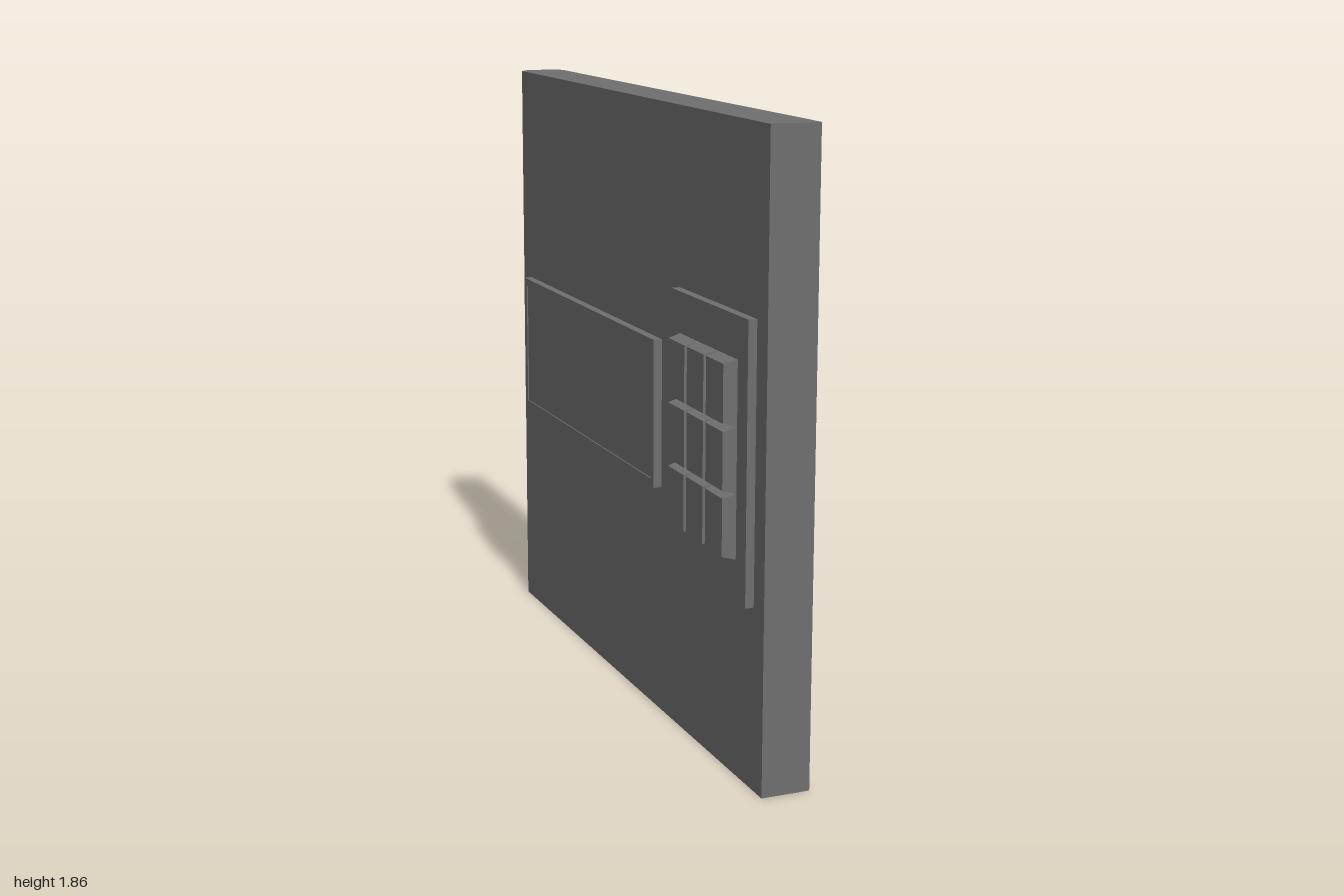
import * as THREE from 'three';

const material = new THREE.MeshStandardMaterial({ color: 0x6f6f6f, flatShading: true });

function add(parent, geometry, name) {
  const mesh = new THREE.Mesh(geometry, material);
  mesh.name = name;
  parent.add(mesh);
  return mesh;
}

// Block given by its minimum and maximum on each axis
function block(parent, name, [x0, x1], [y0, y1], [z0, z1]) {
  const mesh = add(parent, new THREE.BoxGeometry(x1 - x0, y1 - y0, z1 - z0), name);
  mesh.position.set((x0 + x1) / 2, (y0 + y1) / 2, (z0 + z1) / 2);
  return mesh;
}

// Key that narrows towards its outer (-x) face
function keyGeometry(depth, height, width, insetY, insetZ) {
  const geometry = new THREE.BoxGeometry(depth, height, width);
  const p = geometry.attributes.position;
  for (let i = 0; i < p.count; i++) {
    if (p.getX(i) < 0) {
      p.setY(i, p.getY(i) - Math.sign(p.getY(i)) * insetY);
      p.setZ(i, p.getZ(i) - Math.sign(p.getZ(i)) * insetZ);
    }
  }
  geometry.computeVertexNormals();
  return geometry;
}

export function createModel() {
  const model = new THREE.Group();
  model.name = 'keypadPanel';
  const face = -0.042, front = -0.068;

  // Slab with chamfered back edges; the plan is drawn in x and -z, then extruded upwards
  const plan = new THREE.Shape([
    [face, -1], [0.105, -1], [0.105, 0.97], [0.075, 1], [-0.012, 1], [face, 0.97],
  ].map(([x, y]) => new THREE.Vector2(x, y)));
  const slab = new THREE.ExtrudeGeometry(plan, { depth: 1.86, bevelEnabled: false });
  add(model, slab.rotateX(-Math.PI / 2), 'slab');

  // Display: a thin frame around a slightly sunken screen
  const display = new THREE.Group();
  display.name = 'display';
  model.add(display);
  const y0 = 0.708, y1 = 1.16, z0 = -0.895, z1 = 0.276, rim = 0.024;
  const outline = new THREE.Shape();
  outline.moveTo(z0, y0).lineTo(z1, y0).lineTo(z1, y1).lineTo(z0, y1).closePath();
  const hole = new THREE.Path();
  hole.moveTo(z0 + rim, y0 + rim).lineTo(z0 + rim, y1 - rim)
    .lineTo(z1 - rim, y1 - rim).lineTo(z1 - rim, y0 + rim).closePath();
  outline.holes.push(hole);
  const frame = new THREE.ExtrudeGeometry(outline, { depth: face - front, bevelEnabled: false });
  add(display, frame.rotateY(-Math.PI / 2), 'displayFrame').position.x = face;
  block(display, 'screen', [front + 0.004, face], [y0 + rim, y1 - rim], [z0 + rim, z1 - rim]);

  // Keypad: backing plate and a three by three grid of tapered keys
  const keypad = new THREE.Group();
  keypad.name = 'keypad';
  model.add(keypad);
  block(keypad, 'keypadPlate', [front, face], [0.534, 1.338], [0.41, 0.934]);
  const pitchY = 0.188, pitchZ = 0.133, depth = 0.039;
  const key = keyGeometry(depth, pitchY - 0.002, pitchZ - 0.002, 0.01, 0.008);
  for (let row = 0; row < 3; row++) {
    for (let col = 0; col < 3; col++) {
      add(keypad, key, 'key').position.set(
        front - depth / 2, 0.936 + (row - 1) * pitchY, 0.671 + (col - 1) * pitchZ);
    }
  }
  return model;
}
